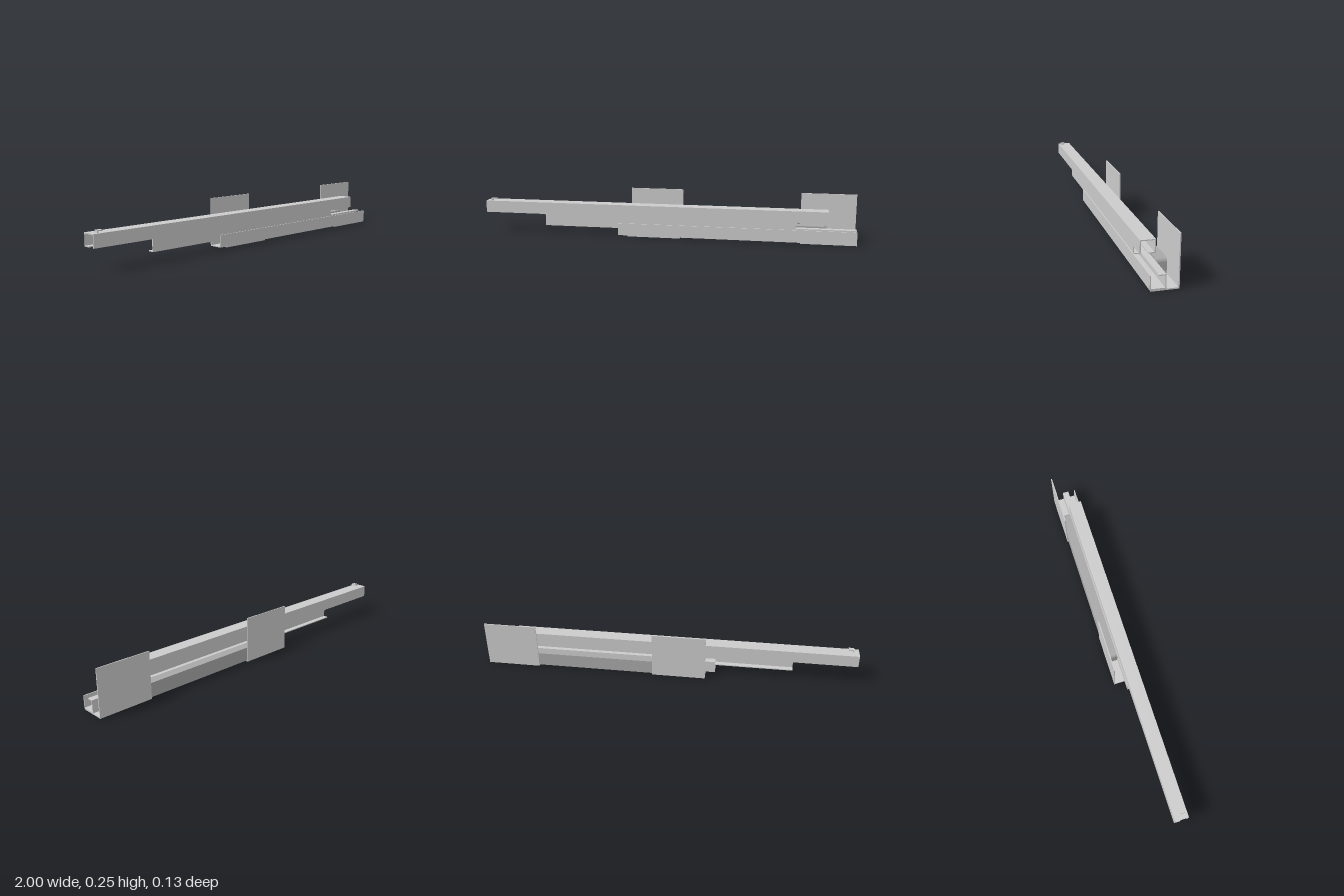
import * as THREE from 'three';

const steel = new THREE.MeshStandardMaterial({ color: 0xcccccc });
const darkSteel = new THREE.MeshStandardMaterial({ color: 0xa8a8a8 });

// Extrude a (z, y) cross-section along x from x0 to x1
function bar(name, profile, x0, x1) {
  const shape = new THREE.Shape(profile.map(([z, y]) => new THREE.Vector2(-z, y)));
  const geo = new THREE.ExtrudeGeometry(shape, { depth: x1 - x0, bevelEnabled: false });
  geo.rotateY(Math.PI / 2).translate(x0, 0, 0);
  const mesh = new THREE.Mesh(geo, steel);
  mesh.name = name;
  return mesh;
}

// Channel with one plain flange and one lipped flange; base is the web's outer face
function channelProfile(base, tip) {
  const t = 0.005 * Math.sign(tip - base);
  return [
    [0.066, base], [0.066, tip], [0.061, tip], [0.061, base + t],
    [-0.001, base + t], [-0.001, tip - t], [0.027, tip - t], [0.027, tip],
    [-0.006, tip], [-0.006, base],
  ];
}

export function createModel() {
  const model = new THREE.Group();
  model.name = 'telescopicSlide';

  // Three nested rails
  model.add(bar('upperRail', channelProfile(0.171, 0.107), -1, 0.855));
  model.add(bar('lowerRail', channelProfile(0.006, 0.071), -0.25, 1));
  model.add(bar('middleRail', [
    [0.045, 0.04], [0.045, 0.139], [0.014, 0.139], [0.014, 0.134],
    [0.04, 0.134], [0.04, 0.045], [0.014, 0.045], [0.014, 0.04],
  ], -0.665, 0.69));

  // L-shaped mounting brackets
  const bracket = [
    [0.062, 0], [0.062, 0.006], [-0.059, 0.006],
    [-0.059, 0.245], [-0.064, 0.245], [-0.064, 0],
  ];
  for (const [name, x] of [['rightBracket', -0.2], ['leftBracket', 0.715]]) {
    model.add(bar(name, bracket, x, x + 0.285));
  }

  // Long block behind the lower rail with rounded upper ends
  const x0 = -0.072, x1 = 0.853, y0 = 0.006, y1 = 0.079, r = 0.02;
  const side = new THREE.Shape();
  side.moveTo(x0, y0);
  side.lineTo(x1, y0);
  side.lineTo(x1, y1 - r);
  side.absarc(x1 - r, y1 - r, r, 0, Math.PI / 2, false);
  side.lineTo(x0 + r, y1);
  side.absarc(x0 + r, y1 - r, r, Math.PI / 2, Math.PI, false);
  side.closePath();
  const blockGeo = new THREE.ExtrudeGeometry(side, { depth: 0.052, bevelEnabled: false, curveSegments: 8 });
  const block = new THREE.Mesh(blockGeo.translate(0, 0, -0.0585), darkSteel);
  block.name = 'driveBlock';
  model.add(block);

  // Small hook on top of the upper rail
  const hook = new THREE.Group();
  hook.name = 'hook';
  const plate = new THREE.Mesh(new THREE.BoxGeometry(0.028, 0.005, 0.023), steel);
  plate.name = 'hookPlate';
  plate.position.set(-0.959, 0.1815, 0.0455);
  const leg = new THREE.Mesh(new THREE.BoxGeometry(0.005, 0.009, 0.023), steel);
  leg.name = 'hookLeg';
  leg.position.set(-0.9705, 0.1745, 0.0455);
  hook.add(plate, leg);
  model.add(hook);

  return model;
}
